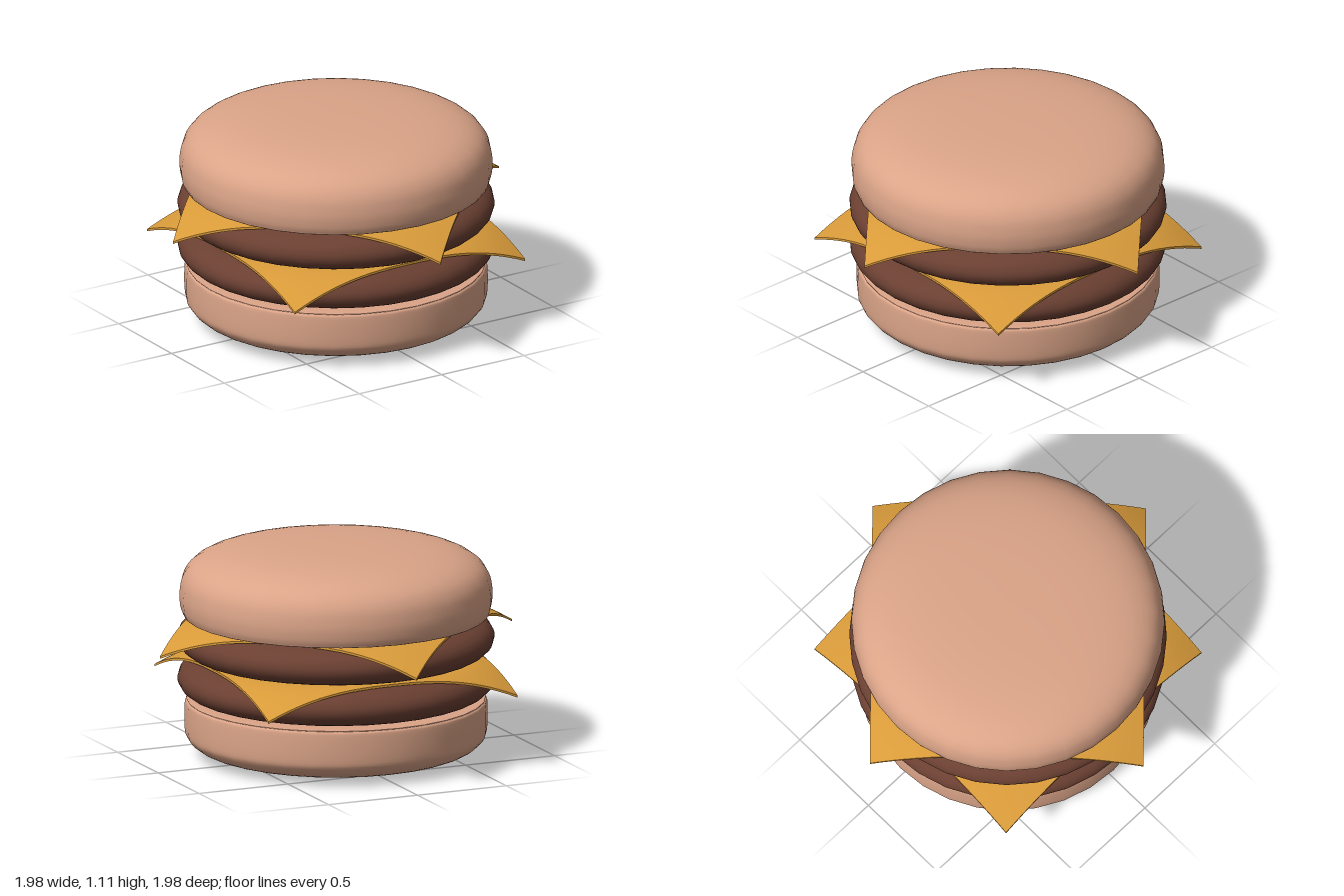
import * as THREE from 'three';

const BUN = 0xdba488, PATTY = 0x6b4032, CHEESE = 0xd99b3a;

// Round layer: smooth curve through [radius, height] points, listed from bottom to top
function roundLayer(name, color, points, y) {
  const curve = new THREE.SplineCurve(points.map(([r, h]) => new THREE.Vector2(r, h)));
  const profile = curve.getPoints(40);
  profile.forEach(p => { p.x = Math.max(p.x, 0); });
  profile[0].x = profile[profile.length - 1].x = 0;
  const mesh = new THREE.Mesh(
    new THREE.LatheGeometry(profile, 32),
    new THREE.MeshStandardMaterial({ color }));
  mesh.name = name;
  mesh.position.y = y;
  return mesh;
}

// Square slice whose corners droop past the edge of the patty
function cheeseSlice(name, y, angle) {
  const geometry = new THREE.BoxGeometry(1.4, 0.012, 1.4, 24, 1, 24);
  const pos = geometry.attributes.position;
  for (let i = 0; i < pos.count; i++) {
    const r = Math.hypot(pos.getX(i), pos.getZ(i));
    const t = Math.max(0, (r - 0.69) / 0.3);
    pos.setY(i, pos.getY(i) - 0.128 * Math.pow(t, 1.45));
  }
  geometry.computeVertexNormals();
  const mesh = new THREE.Mesh(geometry, new THREE.MeshStandardMaterial({ color: CHEESE }));
  mesh.name = name;
  mesh.position.y = y;
  mesh.rotation.y = angle;
  return mesh;
}

export function createModel() {
  const group = new THREE.Group();
  group.name = 'doubleCheeseburger';

  // Buns
  group.add(roundLayer('bottomBun', BUN, [
    [0, 0], [0.35, 0.004], [0.58, 0.018], [0.7, 0.047], [0.76, 0.095], [0.775, 0.15],
    [0.775, 0.27], [0.765, 0.295], [0.73, 0.305], [0.4, 0.305], [0, 0.305]], 0));
  group.add(roundLayer('topBun', BUN, [
    [0, 0], [0.4, 0], [0.74, 0], [0.785, 0.012], [0.8, 0.07], [0.8, 0.13], [0.785, 0.2],
    [0.74, 0.262], [0.65, 0.31], [0.5, 0.343], [0.28, 0.36], [0, 0.365]], 0.74));

  // Patties, each with a cheese slice on top
  const patty = [
    [0, 0], [0.35, 0], [0.62, 0.003], [0.73, 0.018], [0.79, 0.053], [0.812, 0.105],
    [0.79, 0.157], [0.73, 0.192], [0.62, 0.207], [0.35, 0.21], [0, 0.21]];
  group.add(roundLayer('lowerPatty', PATTY, patty, 0.303));
  group.add(cheeseSlice('lowerCheese', 0.513, 0));
  group.add(roundLayer('upperPatty', PATTY, patty, 0.517));
  group.add(cheeseSlice('upperCheese', 0.733, Math.PI / 4));

  return group;
}
